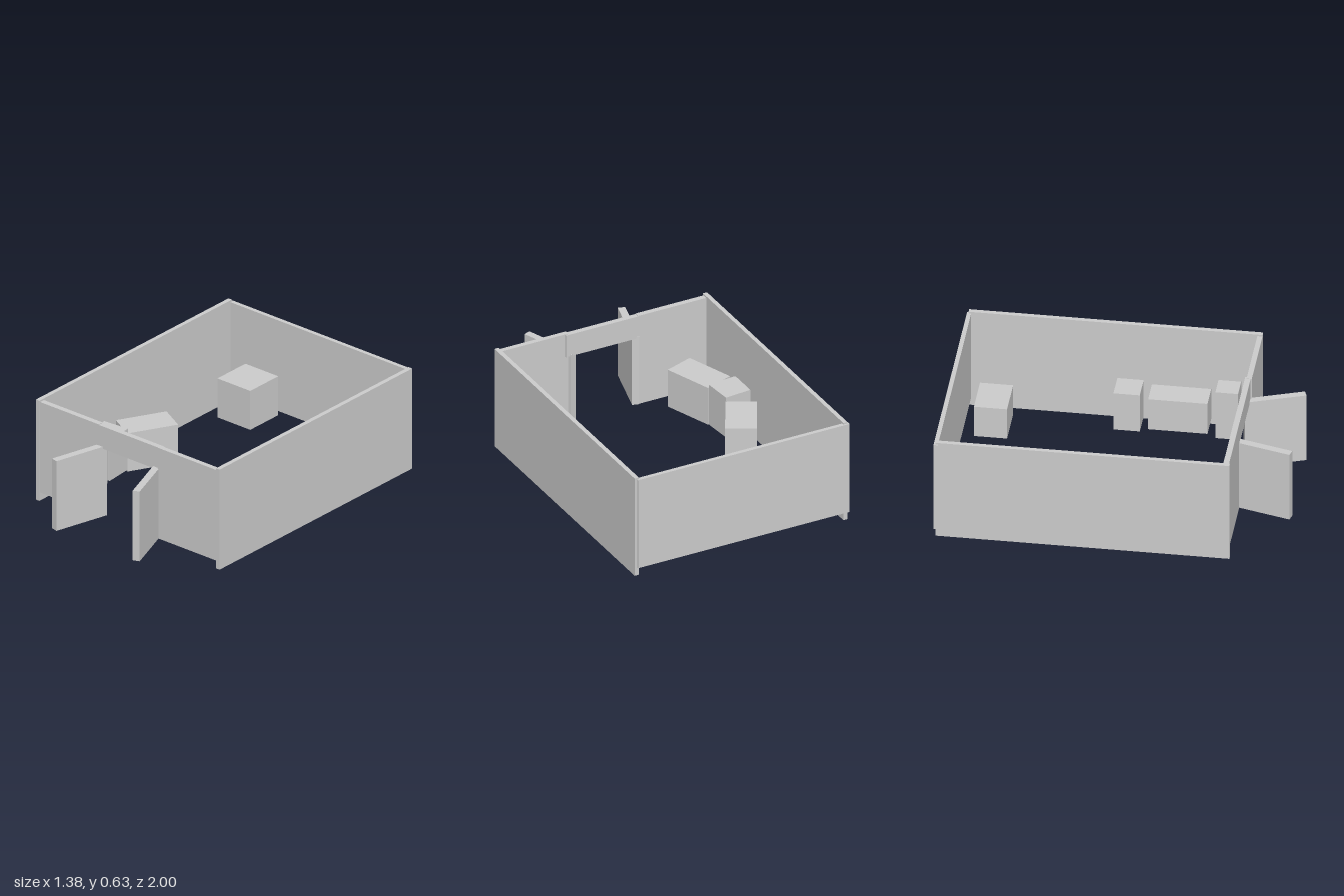
import * as THREE from 'three';

const material = new THREE.MeshStandardMaterial({ color: 0xcccccc, flatShading: true });

export function createModel() {
  const room = new THREE.Group();
  room.name = 'room';

  // Box between two limits on each axis
  function block(name, [x0, x1], [y0, y1], [z0, z1]) {
    const mesh = new THREE.Mesh(new THREE.BoxGeometry(x1 - x0, y1 - y0, z1 - z0), material);
    mesh.position.set((x0 + x1) / 2, (y0 + y1) / 2, (z0 + z1) / 2);
    mesh.name = name;
    room.add(mesh);
  }

  // Box of given plan size, turned about its own vertical axis
  function turned(name, x, z, width, depth, [y0, y1], degrees) {
    const mesh = new THREE.Mesh(new THREE.BoxGeometry(width, y1 - y0, depth), material);
    mesh.position.set(x, (y0 + y1) / 2, z);
    mesh.rotation.y = THREE.MathUtils.degToRad(degrees);
    mesh.name = name;
    room.add(mesh);
  }

  // Walls
  const sideY = [0, 0.635], wallY = [0.05, 0.625];
  block('rightWall', [-0.683, -0.657], sideY, [-0.99, 0.695]);
  block('leftWall', [0.66, 0.687], sideY, [-0.99, 0.695]);
  block('backWall', [-0.692, 0.67], wallY, [-1, -0.975]);
  block('frontWallRight', [-0.66, -0.22], wallY, [0.655, 0.688]);
  block('frontWallLeft', [0.225, 0.66], wallY, [0.665, 0.695]);
  block('lintel', [-0.225, 0.245], [0.48, 0.622], [0.655, 0.688]);

  // Open double doors
  const doorY = [0.05, 0.492];
  turned('doorRight', -0.248, 0.824, 0.043, 0.348, doorY, -14.8);
  turned('doorLeft', 0.257, 0.824, 0.042, 0.356, doorY, 20);

  // Seats along the right wall
  turned('backSofa', -0.498, -0.06, 0.181, 0.309, [0.02, 0.262], -28.3);
  turned('armchair', -0.574, 0.209, 0.178, 0.178, [0.03, 0.29], 5);
  turned('frontSofa', -0.516, 0.481, 0.184, 0.31, [0.02, 0.26], 19.4);

  // Furniture along the left wall
  block('backCabinet', [0.43, 0.587], [0.065, 0.312], [-0.127, 0.024]);
  block('bench', [0.445, 0.598], [0.075, 0.28], [0.07, 0.41]);
  block('frontCabinet', [0.483, 0.61], [0.025, 0.338], [0.45, 0.58]);

  // Blocks at the back of the room
  block('backRightBlock', [-0.51, -0.265], [0.05, 0.297], [-0.935, -0.69]);
  block('backLeftBlock', [0.275, 0.522], [0.05, 0.25], [-0.905, -0.715]);

  return room;
}
